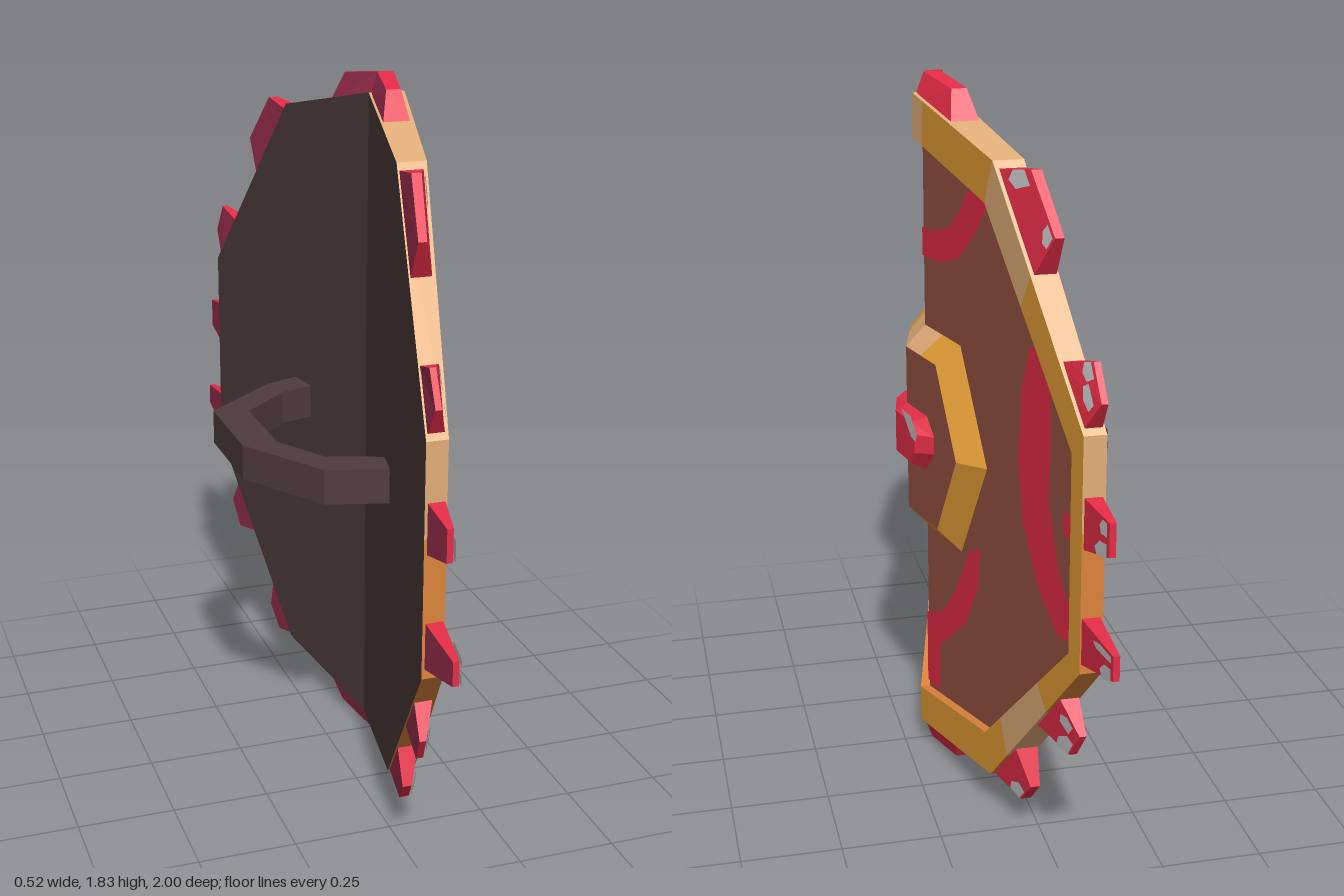
import * as THREE from 'three';

const mat = (name, color, side = THREE.FrontSide) => {
  const m = new THREE.MeshStandardMaterial({ color, side });
  m.name = name;
  return m;
};

// Depth of each layer (x) as a function of z: everything bends back from a centre crease
const wood = z => 0.18 - 0.25 * Math.abs(z);
const rimX = z => 0.205 - 0.25 * Math.min(Math.abs(z), 0.84);
const backX = z => 0.11 - 0.2 * Math.min(Math.abs(z), 0.84);
const bossX = z => 0.23 - 0.25 * Math.abs(z);
const gemX = z => 0.26 - 0.2 * Math.abs(z);

// [z, y] outline helpers
const mirrored = half => [...half, ...half.slice(1, -1).reverse().map(([z, y]) => [-z, y])];
const lift = (pts, depth) => pts.map(([z, y]) => new THREE.Vector3(depth(z), y, z));
const mix = (a, b, t) => a.clone().lerp(b, t);

// Collects flat faces and turns them into one mesh
class Faces {
  constructor() { this.v = []; }
  poly(...p) {
    for (let i = 1; i < p.length - 1; i++) this.v.push(p[0], p[i], p[i + 1]);
    return this;
  }
  halves(p, flip) { // creased panel split along z = 0
    const h = p.length / 2;
    [p.slice(0, h + 1), [...p.slice(h), p[0]]].forEach(q => this.poly(...(flip ? q.reverse() : q)));
    return this;
  }
  mesh(name, material) {
    const g = new THREE.BufferGeometry().setFromPoints(this.v);
    g.computeVertexNormals();
    const m = new THREE.Mesh(g, material);
    m.name = name;
    return m;
  }
}

// Closed strip between two loops; accents are [edge, start, end] stretches put in a second set of faces
function band(a, b, main, second = main, accents = []) {
  a.forEach((_, i) => {
    const j = (i + 1) % a.length;
    const p = accents.find(q => q[0] === i);
    const cuts = p ? [0, p[1], p[2], 1] : [0, 1];
    for (let k = 0; k < cuts.length - 1; k++) {
      const [s, e] = [cuts[k], cuts[k + 1]];
      if (e <= s) continue;
      (p && k === 1 ? second : main).poly(mix(a[i], a[j], s), mix(a[i], a[j], e), mix(b[i], b[j], e), mix(b[i], b[j], s));
    }
  });
}

// Keeps the part of a [z, y] polygon on one side of the crease
function clip(pts, s) {
  const out = [];
  pts.forEach((a, i) => {
    const b = pts[(i + 1) % pts.length];
    if (a[0] * s >= 0) out.push(a);
    if (a[0] * b[0] < 0) out.push([0, a[1] + (b[1] - a[1]) * a[0] / (a[0] - b[0])]);
  });
  return out;
}

export function createModel() {
  const model = new THREE.Group();
  model.name = 'shield';
  const red = mat('red', 0xe62d47), gold = mat('gold', 0xe39d35), tan = mat('pale gold', 0xe2ae78);
  const orange = mat('orange', 0xdd843c), brown = mat('brown wood', 0x985344);
  const dark = mat('dark brown', 0x4f3c3c), maroon = mat('maroon', 0xa03050);
  const grey = mat('worn grey', 0xc6c6c6, THREE.DoubleSide);

  // Board and backing
  const outer = mirrored([[0, 1.78], [0.42, 1.69], [0.84, 1.17], [0.84, 0.6], [0.41, 0.11], [0, 0.06]]);
  const inner = mirrored([[0, 1.67], [0.38, 1.585], [0.79, 1.115], [0.79, 0.63], [0.38, 0.215], [0, 0.16]]);
  const innerWood = lift(inner, wood), innerRim = lift(inner, rimX);
  const outerRim = lift(outer, rimX), outerBack = lift(outer, backX);
  model.add(new Faces().halves(innerWood).mesh('board', brown));
  model.add(new Faces().halves(outerBack, true).mesh('backing', dark));

  // Rim front with pale stretches
  const rimGold = new Faces(), rimPale = new Faces(), rimInside = new Faces();
  band(outerRim, innerRim, rimGold, rimPale,
    [[0, 0, 0.4], [9, 0.86, 1], [8, 0.57, 1], [6, 0.2, 0.65], [3, 0.3, 0.7], [4, 0.6, 1]]);
  // Rim walls: pale above, gold below, orange on the lower sides and inside
  const wallLow = new Faces();
  band(outerBack, outerRim, wallLow, rimPale,
    [[0, 0, 1], [1, 0, 1], [8, 0, 1], [9, 0, 1], [2, 0, 0.4], [7, 0.6, 1], [6, 0.2, 0.65]]);
  band(innerRim, innerWood, rimInside);
  model.add(rimGold.mesh('rim', gold), rimPale.mesh('rimPaleParts', tan));
  model.add(wallLow.mesh('rimLowerWalls', orange), rimInside.mesh('rimInnerWalls', orange));

  // Spikes around the rim: base points, then tip points, both running from top to bottom on +z
  const sideSpikes = [
    [[[0.41, 1.67], [0.59, 1.45]], [[0.54, 1.69], [0.65, 1.56]]],
    [[[0.71, 1.3], [0.82, 1.17]], [[0.82, 1.33], [0.87, 1.25]]],
    [[[0.82, 1.03], [0.82, 0.9]], [[0.95, 1.01], [0.95, 0.93]]],
    [[[0.82, 0.74], [0.82, 0.62]], [[1, 0.72], [1, 0.66]]],
    [[[0.73, 0.5], [0.61, 0.37]], [[0.79, 0.41], [0.745, 0.34]]],
    [[[0.52, 0.26], [0.4, 0.12]], [[0.56, 0.15], [0.51, 0.09]]],
  ];
  const flip = loop => loop.map(([z, y]) => [-z, y]).reverse();
  const spikes = [
    ...sideSpikes, ...sideSpikes.map(s => s.map(flip)),
    [[[-0.2, 1.72], [0, 1.765], [0.2, 1.72]], [[-0.15, 1.81], [0, 1.83], [0.15, 1.81]]],
    [[[0.2, 0.1], [0, 0.075], [-0.2, 0.1]], [[0.15, 0.02], [0, 0.003], [-0.15, 0.02]]],
  ];
  // Worn spots on each spike: [u0, u1] along the tip, [v0, v1] from tip to base
  const wornSpots = [
    [[0.05, 0.45, 0.1, 0.55]],
    [[0, 0.5, 0, 0.35], [0.7, 1, 0.2, 0.6]],
    [[0.4, 1, 0, 0.3]],
    [[0, 0.25, 0, 0.5], [0.6, 1, 0, 0.2]],
    [[0, 0.5, 0, 0.35], [0.65, 1, 0.1, 0.55]],
    [[0, 0.5, 0, 0.35], [0.65, 1, 0, 0.3]],
    [[0.78, 1, 0.1, 0.6], [0, 0.2, 0, 0.3]],
    [[0.1, 0.55, 0.2, 0.5], [0.6, 1, 0, 0.3]],
    [[0, 0.4, 0, 0.4], [0.6, 1, 0, 0.25]],
    [[0, 0.5, 0, 0.3], [0.75, 1, 0, 0.5]],
    [[0, 0.6, 0, 0.35], [0.7, 1, 0.2, 0.6]],
    [[0.1, 0.6, 0, 0.4]],
    [],
    [[0, 0.6, 0, 0.4]],
  ];
  const spikeRed = new Faces(), spikeBack = new Faces(), chips = new Faces();
  spikes.forEach(([base, tip], n) => {
    const tipX = z => rimX(z) - 0.03;
    const bF = lift(base, z => rimX(z) - 0.005), bB = lift(base, z => backX(z) + 0.003);
    const tF = lift(tip, tipX), tB = lift(tip, z => backX(z) + 0.35 * (tipX(z) - backX(z)));
    const e = base.length - 1;
    for (let i = 0; i < e; i++) {
      spikeRed.poly(tF[i], tF[i + 1], bF[i + 1], bF[i]);
      spikeRed.poly(tB[i], tB[i + 1], tF[i + 1], tF[i]);
      spikeBack.poly(bB[i], bB[i + 1], tB[i + 1], tB[i]);
    }
    spikeRed.poly(bF[0], bB[0], tB[0], tF[0]).poly(tF[e], tB[e], bB[e], bF[e]);
    for (const [u0, u1, v0, v1] of wornSpots[n]) {
      const at = (u, v) => mix(mix(tF[0], tF[1], u), mix(bF[0], bF[1], u), v).add(new THREE.Vector3(0.006, 0, 0));
      chips.poly(at(u0, v0), at(u1, v0), at(u1, v0 + 0.6 * (v1 - v0)), at((u0 + u1) / 2, v1), at(u0, v0 + 0.8 * (v1 - v0)));
    }
  });
  model.add(spikeRed.mesh('spikes', red), spikeBack.mesh('spikeBacks', maroon), chips.mesh('spikeChips', grey));

  // Painted face on the board
  const strokes = [
    [[0.4, 1.575], [0.44, 1.55], [0.39, 1.48], [0.27, 1.415], [0.1, 1.37], [-0.1, 1.375], [-0.2, 1.41], [-0.29, 1.49],
      [-0.35, 1.57], [-0.31, 1.6], [-0.25, 1.585], [-0.21, 1.53], [-0.15, 1.475], [-0.05, 1.445], [0.05, 1.445], [0.2, 1.48], [0.33, 1.535]],
    [[0.6, 1.27], [0.67, 1.27], [0.67, 0.95], [0.69, 0.62], [0.67, 0.54], [0.62, 0.56], [0.59, 0.75], [0.575, 0.95], [0.58, 1.15]],
    [[-0.56, 1.29], [-0.65, 1.29], [-0.66, 1.1], [-0.65, 0.95], [-0.7, 0.8], [-0.78, 0.68], [-0.78, 0.64], [-0.7, 0.63],
      [-0.6, 0.72], [-0.53, 0.85], [-0.505, 1], [-0.52, 1.18]],
    [[0.25, 0.61], [0.2, 0.61], [0.16, 0.51], [0.1, 0.44], [0, 0.385], [-0.1, 0.43], [-0.18, 0.53], [-0.25, 0.66], [-0.31, 0.69],
      [-0.3, 0.58], [-0.23, 0.45], [-0.08, 0.32], [-0.07, 0.18], [0.01, 0.18], [0.02, 0.27], [0.12, 0.34], [0.22, 0.49]],
    [[0.78, 0.92], [0.78, 0.87], [0.745, 0.87], [0.745, 0.92]],
    [[-0.72, 0.95], [-0.76, 0.95], [-0.76, 0.89], [-0.72, 0.89]],
  ];
  const paint = new Faces();
  for (const stroke of strokes) for (const s of [1, -1]) {
    const pts = clip(stroke, s);
    if (pts.length < 3) continue;
    const flat = pts.map(([z, y]) => new THREE.Vector2(-z, y));
    const p = lift(pts, z => wood(z) + 0.004);
    for (const [a, b, c] of THREE.ShapeUtils.triangulateShape(flat, [])) {
      const ccw = flat[b].clone().sub(flat[a]).cross(flat[c].clone().sub(flat[a])) > 0;
      paint.poly(p[a], ccw ? p[b] : p[c], ccw ? p[c] : p[b]);
    }
  }
  model.add(paint.mesh('paintedStripes', red));

  // Central boss: sloping hexagonal frame around a raised panel
  const hexOut = mirrored([[0, 1.19], [0.2, 1.19], [0.34, 0.915], [0.2, 0.64], [0, 0.64]]);
  const hexIn = mirrored([[0, 1.135], [0.17, 1.135], [0.28, 0.915], [0.17, 0.695], [0, 0.695]]);
  const hexTop = lift(hexIn, bossX);
  const bossGold = new Faces(), bossPale = new Faces();
  band(lift(hexOut, wood), hexTop, bossGold, bossPale, [[0, 0, 0.75], [7, 0.5, 1]]);
  model.add(bossGold.mesh('bossFrame', gold), bossPale.mesh('bossFramePalePart', tan));
  model.add(new Faces().halves(hexTop).mesh('bossPanel', brown));

  // Red stud on the boss
  const studOut = mirrored([[0, 0.985], [0.12, 0.985], [0.16, 0.94], [0.16, 0.895], [0.11, 0.835], [0, 0.835]]);
  const studIn = mirrored([[0, 0.965], [0.1, 0.965], [0.125, 0.94], [0.125, 0.89], [0.1, 0.855], [0, 0.855]]);
  const studTop = lift(studIn, gemX);
  const stud = new Faces().halves(studTop);
  band(lift(studOut, z => bossX(z) - 0.002), studTop, stud);
  model.add(stud.mesh('stud', red));
  const wear = [[-0.05, 0.985], [-0.11, 0.985], [-0.15, 0.945], [-0.14, 0.925], [-0.11, 0.93], [-0.09, 0.965]];
  model.add(new Faces().poly(...lift(wear, z => gemX(z) + 0.003)).mesh('studWear', grey));

  // Grip loop behind the board
  const loop = [[0.06, -0.39], [-0.06, -0.34], [-0.26, -0.17], [-0.26, 0.11], [-0.12, 0.34], [0.06, 0.39],
    [0.08, 0.31], [-0.09, 0.25], [-0.17, 0.11], [-0.17, -0.14], [-0.04, -0.26], [0.08, -0.3]];
  const gripShape = new THREE.Shape(loop.map(([x, z]) => new THREE.Vector2(x, -z)));
  const gripGeo = new THREE.ExtrudeGeometry(gripShape, { depth: 0.09, bevelEnabled: false });
  gripGeo.rotateX(-Math.PI / 2).translate(0, 0.84, 0);
  const handle = new THREE.Mesh(gripGeo, dark);
  handle.name = 'handle';
  model.add(handle);

  return model;
}
